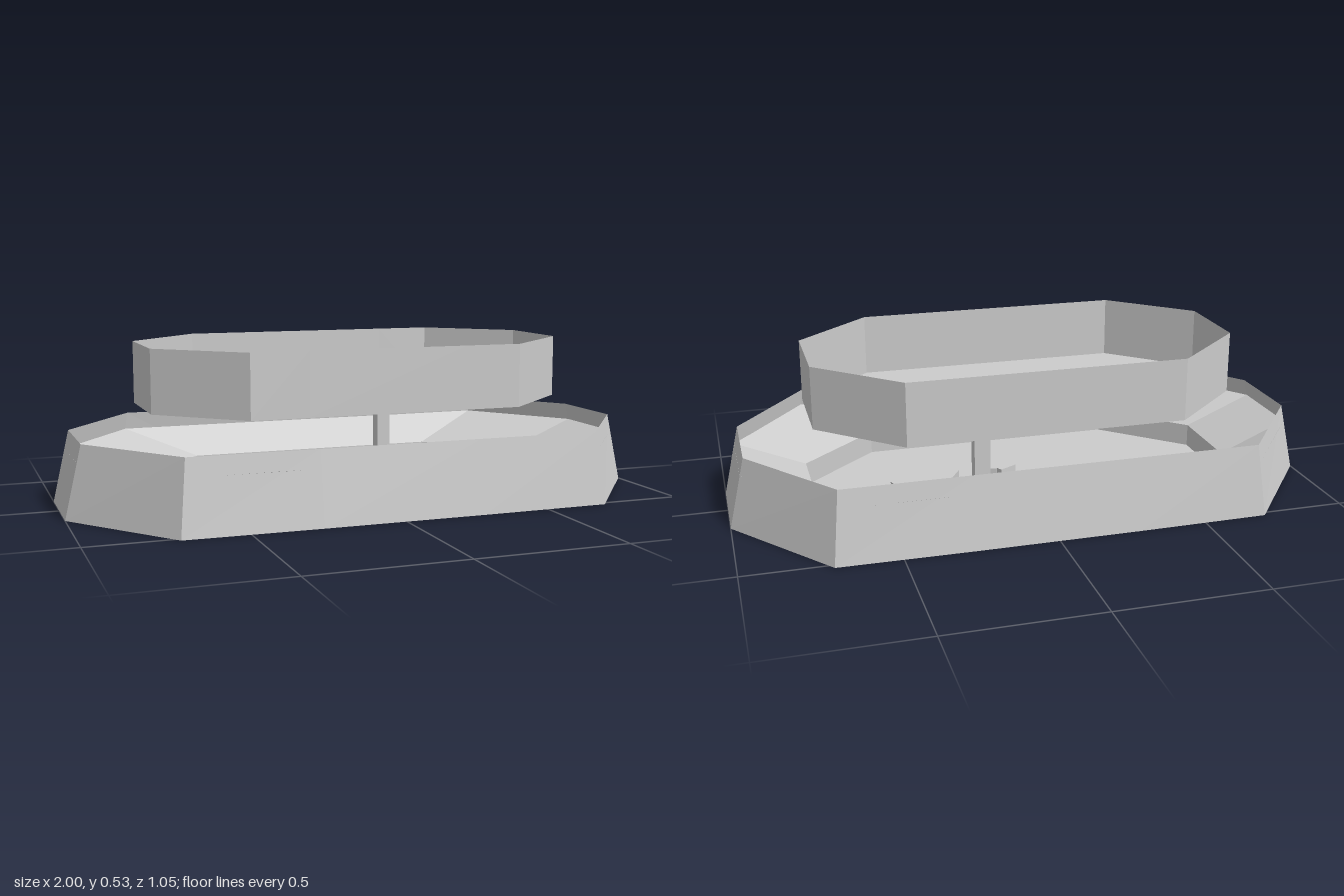
import * as THREE from 'three';

const material = new THREE.MeshStandardMaterial({ color: 0xcccccc, flatShading: true, side: THREE.DoubleSide });

// Elongated octagon at height y; the long sides may bow out slightly in the middle.
function ring(y, x, z, cornerX, cornerZ, bow = 0) {
  const m = 0.27;
  const half = [[x, cornerZ], [cornerX, z], [m, z + bow], [-m, z + bow], [-cornerX, z], [-x, cornerZ]];
  return [...half, ...half.map(([a, b]) => [-a, -b])].map(([a, b]) => new THREE.Vector3(a, y, b));
}

// Joins successive rings with flat faces, optionally closing the last or first ring.
function loft(rings, floorRing) {
  const pos = [];
  const tri = (...pts) => pts.forEach((p) => pos.push(p.x, p.y, p.z));
  for (let r = 0; r < rings.length - 1; r++) {
    const a = rings[r], b = rings[r + 1], n = a.length;
    for (let i = 0; i < n; i++) {
      const j = (i + 1) % n;
      tri(a[i], b[i], a[j]);
      tri(a[j], b[i], b[j]);
    }
  }
  if (floorRing) {
    const c = new THREE.Vector3(0, floorRing[0].y, 0);
    floorRing.forEach((p, i) => tri(c, floorRing[(i + 1) % floorRing.length], p));
  }
  const g = new THREE.BufferGeometry();
  g.setAttribute('position', new THREE.Float32BufferAttribute(pos, 3));
  g.computeVertexNormals();
  return g;
}

export function createModel() {
  const model = new THREE.Group();
  const add = (name, geometry, x = 0, y = 0, z = 0) => {
    const mesh = new THREE.Mesh(geometry, material);
    mesh.name = name;
    mesh.position.set(x, y, z);
    model.add(mesh);
    return mesh;
  };

  // Outer wall, leaning inwards
  add('outerWall', loft([
    ring(0, 1, 0.52, 0.713, 0.15, 0.005),
    ring(0.24, 0.945, 0.487, 0.69, 0.15),
  ]));

  // Sloping shelf that drops into the sunken floor
  const floor = ring(0, 0.72, 0.4, 0.45, 0.15);
  add('innerBasin', loft([
    ring(0.18, 0.959, 0.495, 0.696, 0.15, 0.001),
    ring(0.08, 0.72, 0.4, 0.45, 0.15),
    floor,
  ], floor));

  // Raised open tray
  const trayBase = ring(0.32, 0.72, 0.393, 0.46, 0.152);
  add('upperTray', loft([trayBase, ring(0.53, 0.72, 0.393, 0.46, 0.152)], trayBase), 0, 0, -0.0125);

  // Slim posts under the tray
  for (const [x, z] of [[0.15, -0.075], [0.12, 0.0]]) {
    add('post', new THREE.BoxGeometry(0.045, 0.32, 0.045), x, 0.16, z);
  }

  // Low blocks beside the posts
  for (const [x, z, turn] of [[0.03, 0.04, 0.5], [0.09, 0.05, -0.4]]) {
    add('lowBlock', new THREE.BoxGeometry(0.07, 0.04, 0.04), x, 0.02, z).rotation.y = turn;
  }

  // Flat wedge lying on the floor
  const outline = new THREE.Shape([[0.2, 0.03], [0.28, -0.1], [0.43, -0.07], [0.45, -0.01]]
    .map(([x, z]) => new THREE.Vector2(x, -z)));
  const wedge = new THREE.ExtrudeGeometry(outline, { depth: 0.045, bevelEnabled: false });
  wedge.rotateX(-Math.PI / 2);
  add('floorWedge', wedge);

  return model;
}
